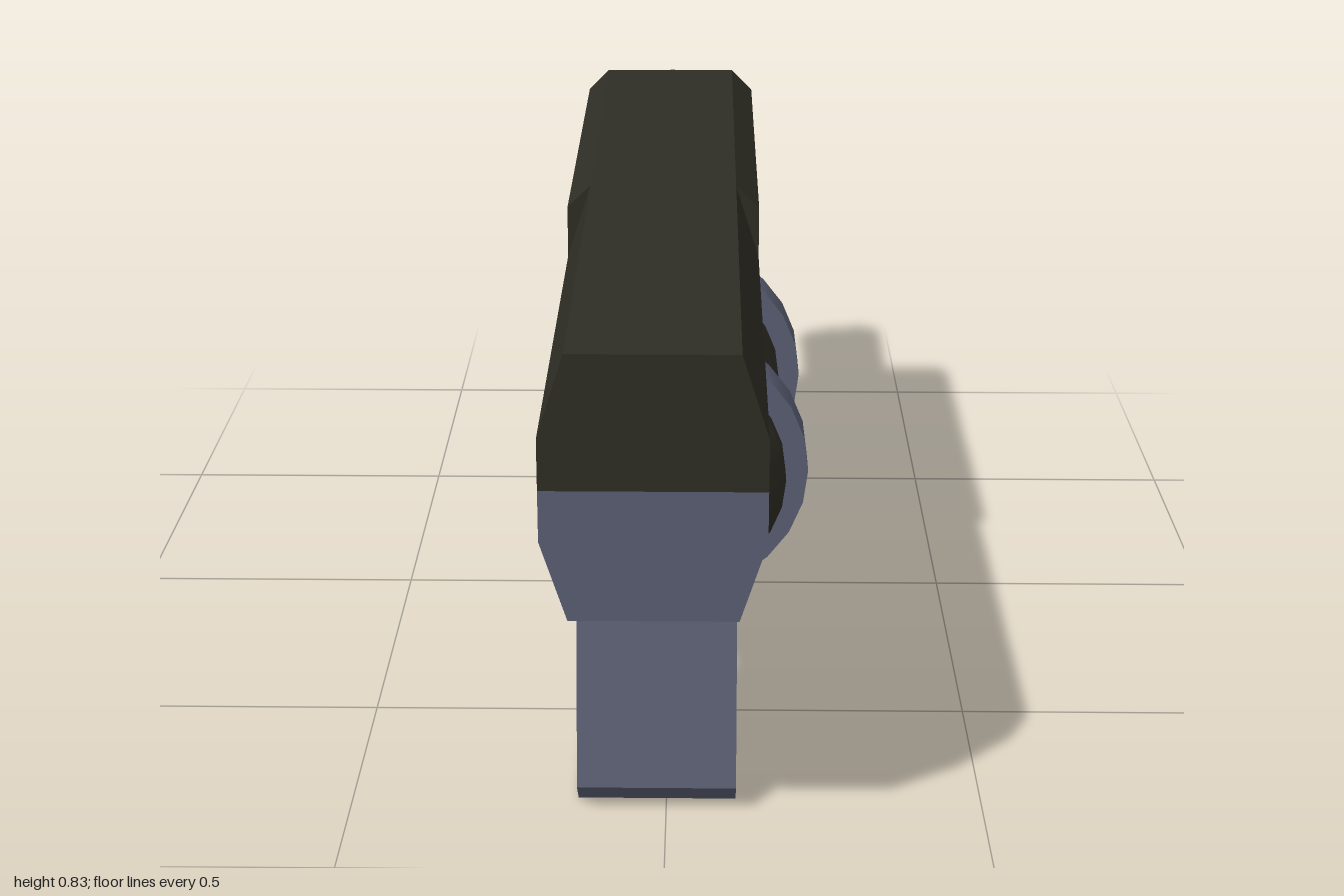
import * as THREE from 'three';
import { toCreasedNormals } from 'three/addons/utils/BufferGeometryUtils.js';

const material = (name, color) => {
  const m = new THREE.MeshStandardMaterial({ color });
  m.name = name;
  return m;
};

export function createModel() {
  const olive = material('dark olive', 0x2f2e25);
  const slate = material('slate blue', 0x5c6175);
  const steel = material('gunmetal', 0x434a50);
  const group = new THREE.Group();
  const CX = -0.015; // centre line of the body

  const add = (name, geometry, mat) => {
    const mesh = new THREE.Mesh(geometry, mat);
    mesh.name = name;
    group.add(mesh);
    return mesh;
  };
  const extrude = (points, depth) => new THREE.ExtrudeGeometry(
    new THREE.Shape(points.map(([a, b]) => new THREE.Vector2(a, b))),
    { depth, bevelEnabled: false });

  // Mirrored cross-section [half width, y] swept from z0 to z1
  const bodyPart = (name, half, z0, z1, mat) => {
    const mirrored = half.map(([x, y]) => [-x, y]).reverse();
    add(name, extrude([...half, ...mirrored], z1 - z0).translate(CX, 0, z0), mat);
  };
  // Side profile [z, y] given a width across x
  const sidePart = (name, points, width, mat) =>
    add(name, extrude(points, width).rotateY(-Math.PI / 2).translate(CX + width / 2, 0, 0), mat);
  // Profile [radius, z] turned about the z axis
  const turned = (name, points, x, y, mat) => {
    const lathe = new THREE.LatheGeometry(points.map(([r, z]) => new THREE.Vector2(r, z)), 24);
    add(name, toCreasedNormals(lathe.rotateX(Math.PI / 2), 0.4).translate(x, y, 0), mat);
  };

  // Rear body, tapered above and below
  bodyPart('rearBodyLower', [[0.125, 0.42], [0.165, 0.545], [0.165, 0.625]], 0.168, 1, slate);
  bodyPart('rearBodyUpper', [[0.165, 0.625], [0.165, 0.705], [0.125, 0.833]], 0.168, 1, olive);

  // Front body with a small top chamfer
  bodyPart('frontBodyLower', [[0.165, 0.42], [0.165, 0.59]], -0.665, 0.168, slate);
  bodyPart('frontBodyUpper', [[0.165, 0.59], [0.165, 0.793], [0.125, 0.833]], -0.665, 0.168, olive);

  // Hollow barrel
  turned('barrel', [[0, -0.75], [0.04, -0.75], [0.04, -1], [0.083, -1], [0.083, -0.64]],
    CX, 0.67, steel);

  // Tank with bevelled ends, and its two clamps
  turned('tank', [[0, -0.665], [0.167, -0.665], [0.208, -0.587], [0.208, 0.09], [0.167, 0.168], [0, 0.168]],
    0, 0.25, olive);
  for (const [z0, z1] of [[-0.04, 0.043], [-0.54, -0.457]]) {
    turned('tankClamp', [[0, z0], [0.25, z0], [0.25, z1], [0, z1]], 0, 0.25, slate);
  }

  // Block under the tank
  add('tankBlock', new THREE.BoxGeometry(0.25, 0.073, 0.332).translate(CX, 0.0365, -0.247), steel);

  // Grip with a small foot in front
  sidePart('grip', [[0.79, 0], [0.835, 0.045], [0.752, 0.42], [0.585, 0.42],
    [0.672, 0.04], [0.59, 0.04], [0.59, 0]], 0.25, slate);

  // Trigger guard and trigger
  sidePart('triggerGuard', [[0.59, 0], [0.59, 0.04], [0.37, 0.04], [0.312, 0.42],
    [0.273, 0.42], [0.337, 0]], 0.125, steel);
  sidePart('trigger', [[0.545, 0.42], [0.455, 0.335], [0.438, 0.335], [0.457, 0.42]], 0.06, steel);

  return group;
}
